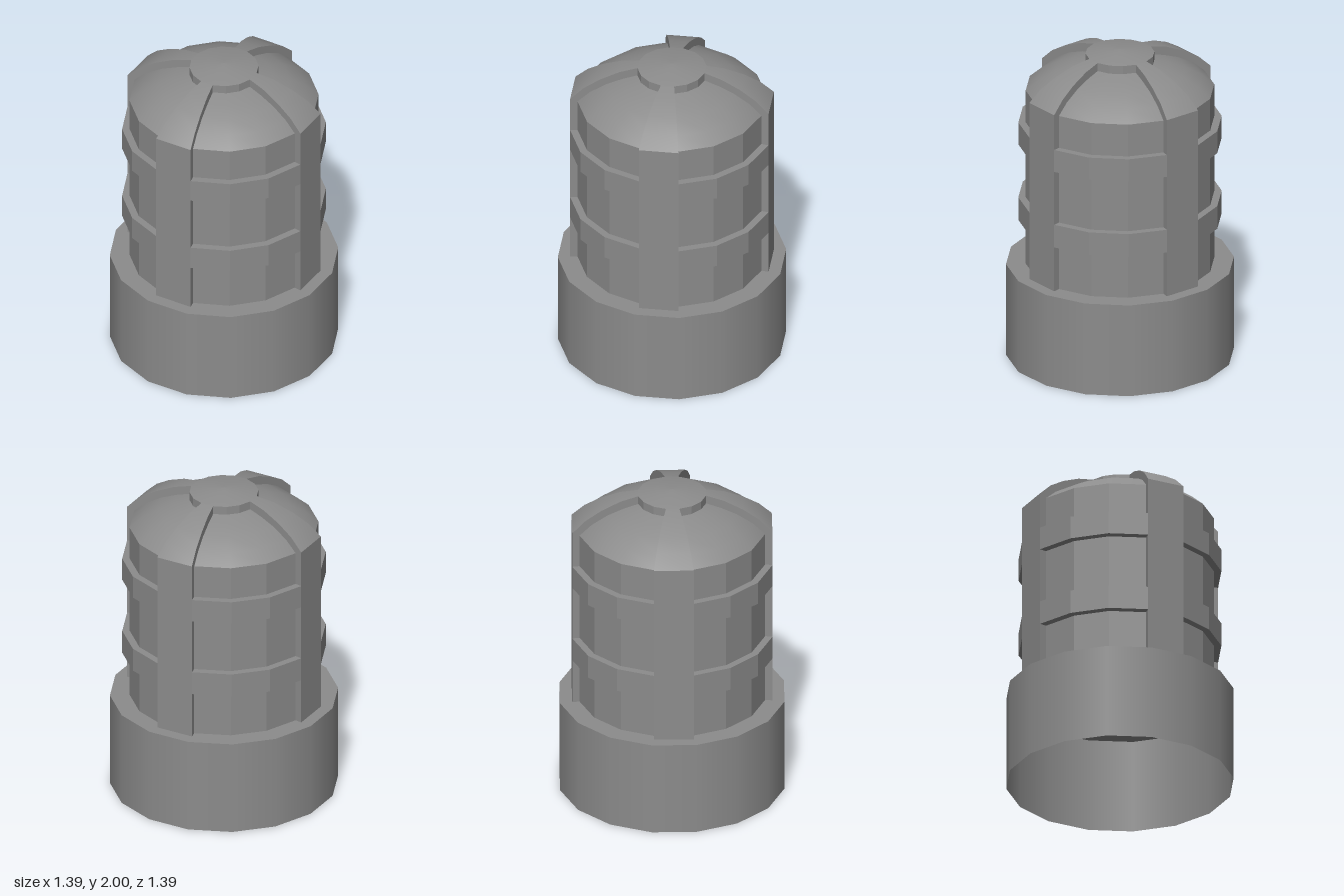
import * as THREE from 'three';

const STEP = Math.PI / 8; // sixteen sides all round
const R_BASE = 0.695, R_OUT = 0.62, R_IN = 0.575, R_CAP = 0.21;
const BASE_TOP = 0.6;
const RINGS = [[0.89, 1.04], [1.39, 1.535]];

// Dome curves, from the shoulder to the edge of the cap [radius, height]
const OUTER_DOME = [[R_OUT, 1.765], [0.54, 1.84], [0.44, 1.9], [0.32, 1.95], [R_CAP, 1.975]];
const INNER_DOME = [[R_IN, 1.745], [0.5, 1.81], [0.4, 1.865], [0.3, 1.9], [R_CAP, 1.922]];

export function createModel() {
  const model = new THREE.Group();
  model.name = 'cagedLamp';
  const grey = new THREE.MeshStandardMaterial({ color: 0x8c8c8c, side: THREE.DoubleSide });
  grey.name = 'grey';

  const add = (name, geometry) => {
    const mesh = new THREE.Mesh(geometry, grey);
    mesh.name = name;
    model.add(mesh);
  };
  // Revolve a profile over some of the sixteen sides
  const revolve = (profile, first = 0, sides = 16, flat = false) => {
    const points = profile.map(([r, y]) => new THREE.Vector2(r, y));
    const g = new THREE.LatheGeometry(points, sides, first * STEP, sides * STEP);
    if (!flat) return g;
    const f = g.toNonIndexed();
    f.computeVertexNormals();
    return f;
  };
  // Upright plate in the radial plane at one corner of the sixteen sides
  const radialPlate = (outline, corner) => {
    const shape = new THREE.Shape(outline.map(([r, y]) => new THREE.Vector2(r, y)));
    return new THREE.ShapeGeometry(shape).rotateY(corner * STEP - Math.PI / 2);
  };

  // Open base tube and the top cap
  add('base', revolve([[R_BASE, 0], [R_BASE, BASE_TOP]]));
  add('cap', revolve([[R_CAP, 1.975], [0.1, 1.994], [0, 2]]));

  // Stepped wall: glass set back, cage rings standing out
  const wall = [[R_BASE, BASE_TOP], [R_IN, BASE_TOP]];
  for (const [low, high] of RINGS) {
    wall.push([R_IN, low], [R_OUT, low], [R_OUT, high], [R_IN, high]);
  }
  wall.push([R_IN, 1.745]);

  // Side faces of the bars, open where the rings join them
  const sideOutlines = [
    [BASE_TOP, RINGS[0][0]],
    [RINGS[0][1], RINGS[1][0]],
  ].map(([a, b]) => [[R_IN, a], [R_OUT, a], [R_OUT, b], [R_IN, b]]);
  const ringTop = RINGS[1][1];
  sideOutlines.push([[R_IN, ringTop], [R_OUT, ringTop], ...OUTER_DOME, ...[...INNER_DOME].reverse()]);

  for (let q = 0; q < 4; q++) {
    const bar = q * 4 + 1, panel = bar + 1;
    // One-sided cage bar, running up and over the dome
    add('cageBar', revolve([[R_BASE, BASE_TOP], [R_OUT, BASE_TOP], [R_OUT, 1.765]], bar, 1, true));
    add('cageBarTop', revolve(OUTER_DOME, bar, 1));
    for (const outline of sideOutlines) {
      add('cageBarSide', radialPlate(outline, bar));
      add('cageBarSide', radialPlate(outline, bar + 1));
    }
    // Three-sided panel between bars
    add('glassPanel', revolve(wall, panel, 3, true));
    add('glassDome', revolve(INNER_DOME, panel, 3));
    add('capRim', revolve([[R_CAP, 1.922], [R_CAP, 1.975]], panel, 3, true));
  }
  return model;
}
